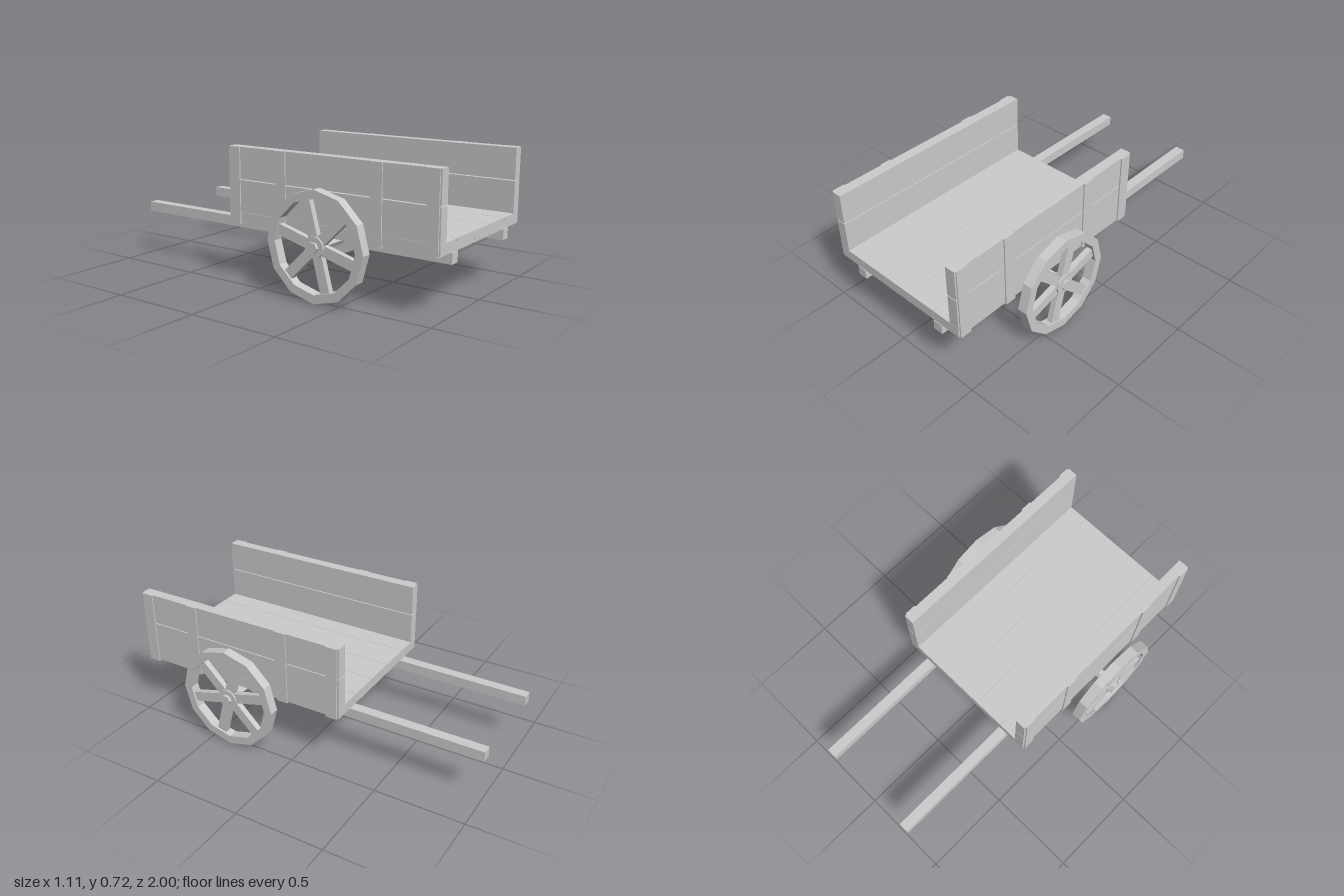
import * as THREE from 'three';

const material = new THREE.MeshStandardMaterial({ color: 0xcccccc, flatShading: true });
const AXLE_Y = 0.287, AXLE_Z = 0.375;

function add(parent, name, geometry, x = 0, y = 0, z = 0) {
  const mesh = new THREE.Mesh(geometry, material);
  mesh.name = name;
  mesh.position.set(x, y, z);
  parent.add(mesh);
  return mesh;
}

// Box given by its limits on each axis
function slab(parent, name, x0, x1, y0, y1, z0, z1) {
  return add(parent, name, new THREE.BoxGeometry(x1 - x0, y1 - y0, z1 - z0),
    (x0 + x1) / 2, (y0 + y1) / 2, (z0 + z1) / 2);
}

// Outline of a regular polygon
function polygon(Type, radius, sides) {
  const points = [];
  for (let i = 0; i < sides; i++) {
    const a = (i / sides) * Math.PI * 2;
    points.push(new THREE.Vector2(Math.cos(a) * radius, Math.sin(a) * radius));
  }
  return new Type(points);
}

// Extrusion centred on x, running along x
function extrudeAlongX(shape, width) {
  return new THREE.ExtrudeGeometry(shape, { depth: width, bevelEnabled: false })
    .translate(0, 0, -width / 2).rotateY(Math.PI / 2);
}

function createWheel() {
  const wheel = new THREE.Group();
  wheel.name = 'wheel';
  const rim = polygon(THREE.Shape, 0.286, 12);
  rim.holes.push(polygon(THREE.Path, 0.24, 12));
  add(wheel, 'rim', extrudeAlongX(rim, 0.055));
  add(wheel, 'hub', extrudeAlongX(polygon(THREE.Shape, 0.055, 12), 0.05));
  for (let i = 0; i < 6; i++) {
    const spoke = new THREE.BoxGeometry(0.032, 0.205, 0.055).translate(0, 0.1375, 0);
    add(wheel, 'spoke', spoke).rotation.x = -Math.PI / 12 + (i * Math.PI) / 3;
  }
  return wheel;
}

export function createModel() {
  const cart = new THREE.Group();
  cart.name = 'handcart';

  // Floor planks
  const edges = [-0.434, -0.264, -0.087, 0.084, 0.261, 0.434];
  for (let i = 0; i < 5; i++)
    slab(cart, 'floorPlank', edges[i] + 0.001, edges[i + 1] - 0.001, 0.315, 0.372, -0.255, 1);

  // Thin battens under the floor and up the outside of both walls
  const battenZ = [-0.585, -0.285, 0.285, 0.585].map((d) => AXLE_Z + d);
  for (const z of battenZ)
    slab(cart, 'floorBatten', -0.434, 0.434, 0.309, 0.317, z - 0.032, z + 0.032);

  for (const side of [-1, 1]) {
    const half = new THREE.Group();
    half.name = side > 0 ? 'leftSide' : 'rightSide';
    cart.add(half);
    const span = (name, a, b, ...rest) =>
      slab(half, name, Math.min(side * a, side * b), Math.max(side * a, side * b), ...rest);

    // Two stacked wall boards with a narrow gap
    span('lowerWallBoard', 0.376, 0.434, 0.373, 0.545, -0.255, 1);
    span('upperWallBoard', 0.376, 0.434, 0.55, 0.72, -0.255, 1);
    for (const z of battenZ)
      span('wallBatten', 0.432, 0.441, 0.309, 0.72, z - 0.032, z + 0.032);

    // Long shaft running under the floor and out behind as a handle
    span('shaft', 0.257, 0.313, 0.253, 0.309, -1, 1);

    // Half-octagon bearing that holds the axle beneath the shaft
    const bearing = new THREE.Shape();
    for (let i = 0; i <= 4; i++) {
      const a = Math.PI + (i * Math.PI) / 4;
      const x = Math.cos(a) * 0.083, y = Math.sin(a) * 0.083;
      if (i === 0) bearing.moveTo(x, y);
      else bearing.lineTo(x, y);
    }
    bearing.closePath();
    add(half, 'axleBearing', extrudeAlongX(bearing, 0.054), side * 0.285, AXLE_Y, AXLE_Z);

    const wheel = createWheel();
    wheel.position.set(side * 0.516, AXLE_Y, AXLE_Z);
    half.add(wheel);
  }

  // Hexagonal axle
  add(cart, 'axle', extrudeAlongX(polygon(THREE.Shape, 0.029, 6), 1.114), 0, AXLE_Y, AXLE_Z);

  return cart;
}
